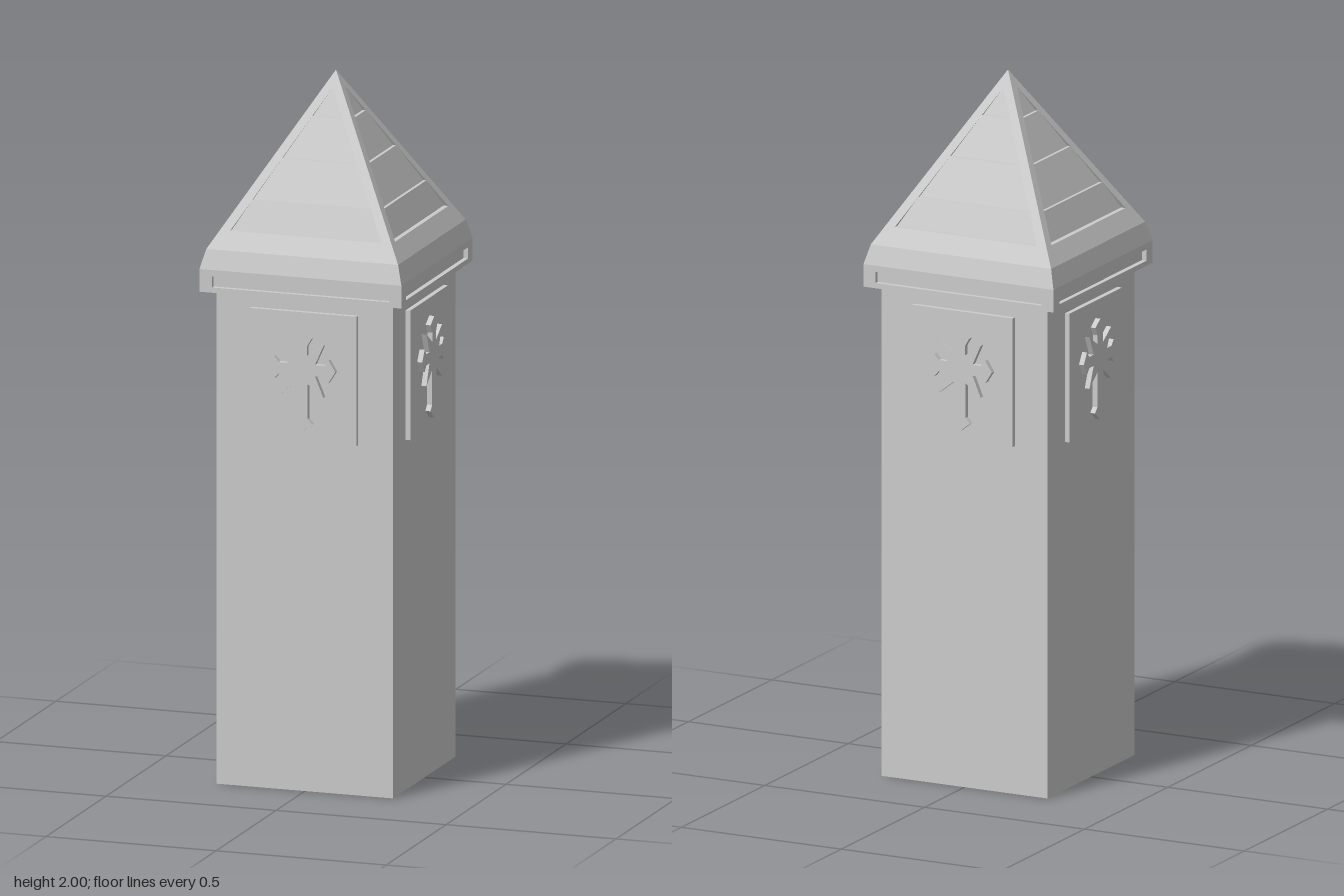
import * as THREE from 'three';

const mat = new THREE.MeshStandardMaterial({ color: 0xcccccc, flatShading: true });
const BODY = 0.26, EAVE = 0.297, ROOF = 0.282, ROOF_Y = 1.53, TOP = 2;

// Collects flat polygons (corners counter-clockwise from outside) into one mesh
class Faces {
  constructor() { this.p = []; }
  poly(...c) {
    for (let i = 1; i < c.length - 1; i++) this.p.push(...c[0], ...c[i], ...c[i + 1]);
  }
  // band of quads between two loops with the same corner count
  ring(outer, inner) {
    const n = outer.length;
    for (let i = 0; i < n; i++) {
      const j = (i + 1) % n;
      this.poly(outer[i], outer[j], inner[j], inner[i]);
    }
  }
  mesh(name) {
    const g = new THREE.BufferGeometry();
    g.setAttribute('position', new THREE.Float32BufferAttribute(this.p, 3));
    g.computeVertexNormals();
    return named(g, name);
  }
}

function named(geometry, name) {
  const m = new THREE.Mesh(geometry, mat);
  m.name = name;
  return m;
}

const rect = (x, y0, y1, z) => [[-x, y0, z], [x, y0, z], [x, y1, z], [-x, y1, z]];

// One side of the eave: underside, fascia with a recessed slot, sloped top
function eaveSide() {
  const f = new Faces(), y0 = 1.41, y1 = 1.475;
  const front = rect(0.26, 1.425, 1.457, EAVE), back = rect(0.26, 1.425, 1.457, EAVE - 0.014);
  f.ring(rect(EAVE, y0, y1, EAVE), front);
  f.ring(front, back);
  f.poly(...back);
  f.poly([-BODY, y0, BODY], [BODY, y0, BODY], [EAVE, y0, EAVE], [-EAVE, y0, EAVE]);
  f.poly([-EAVE, y1, EAVE], [EAVE, y1, EAVE], [ROOF, ROOF_Y, ROOF], [-ROOF, ROOF_Y, ROOF]);
  return f.mesh('eave');
}

// One roof slope: triangular border around louvres that sink in at their foot
function roofSide() {
  const f = new Faces();
  const levels = [1.58, 1.66, 1.77, 1.88, 1.955];
  const z = y => ROOF * (TOP - y) / (TOP - ROOF_Y);
  const w = y => 0.222 * (1.955 - y) / 0.375;
  f.ring(
    [[-ROOF, ROOF_Y, ROOF], [ROOF, ROOF_Y, ROOF], [0, TOP, 0]],
    [[-w(1.58), 1.58, z(1.58)], [w(1.58), 1.58, z(1.58)], [0, 1.955, z(1.955)]]);
  for (let i = 0; i < 4; i++) {
    const a = levels[i], b = levels[i + 1], d = i ? 0.009 : 0.014;
    const wa = w(a), wb = w(b), za = z(a), zb = z(b);
    const L = [-wa, a, za], R = [wa, a, za], l = [-wa, a, za - d], r = [wa, a, za - d];
    const tl = [-wb, b, zb], tr = [wb, b, zb];
    f.poly(L, R, r, l);       // ledge
    if (wb > 0) f.poly(l, r, tr, tl); else f.poly(l, r, tr);
    f.poly(R, tr, r);         // cheeks against the border
    f.poly(L, l, tl);
  }
  return f.mesh('roofSlope');
}

// Raised cross with flared ends and diagonal rays
function emblem() {
  const half = [
    [0.03, 0.09], [0.016, 0.066], [0.016, 0.04], [0.065, 0.072], [0.04, 0.016],
    [0.066, 0.016], [0.08, 0.032], [0.1, 0], [0.08, -0.032], [0.066, -0.016],
    [0.04, -0.016], [0.065, -0.076], [0.018, -0.04], [0.018, -0.14], [0.032, -0.155]];
  const pts = [[0, 0.11], ...half, [0, -0.18], ...half.slice().reverse().map(([x, y]) => [-x, y])];
  const shape = new THREE.Shape(pts.map(([x, y]) => new THREE.Vector2(x, y)));
  const m = named(new THREE.ExtrudeGeometry(shape, { depth: 0.018, bevelEnabled: false }), 'crossRelief');
  m.position.set(0, 1.21, 0.271);
  return m;
}

export function createModel() {
  const model = new THREE.Group();
  model.name = 'tower';

  // Square shaft
  const shaft = named(new THREE.BoxGeometry(2 * BODY, 1.41, 2 * BODY), 'shaft');
  shaft.position.y = 0.705;
  model.add(shaft);

  // Four identical sides
  for (let i = 0; i < 4; i++) {
    const side = new THREE.Group();
    side.name = ['front', 'left', 'back', 'right'][i] + 'Side';
    const plaque = named(new THREE.BoxGeometry(0.314, 0.37, 0.024), 'plaque');
    plaque.position.set(0, 1.185, 0.262);
    side.add(plaque, emblem(), eaveSide(), roofSide());
    side.rotation.y = i * Math.PI / 2;
    model.add(side);
  }
  return model;
}
